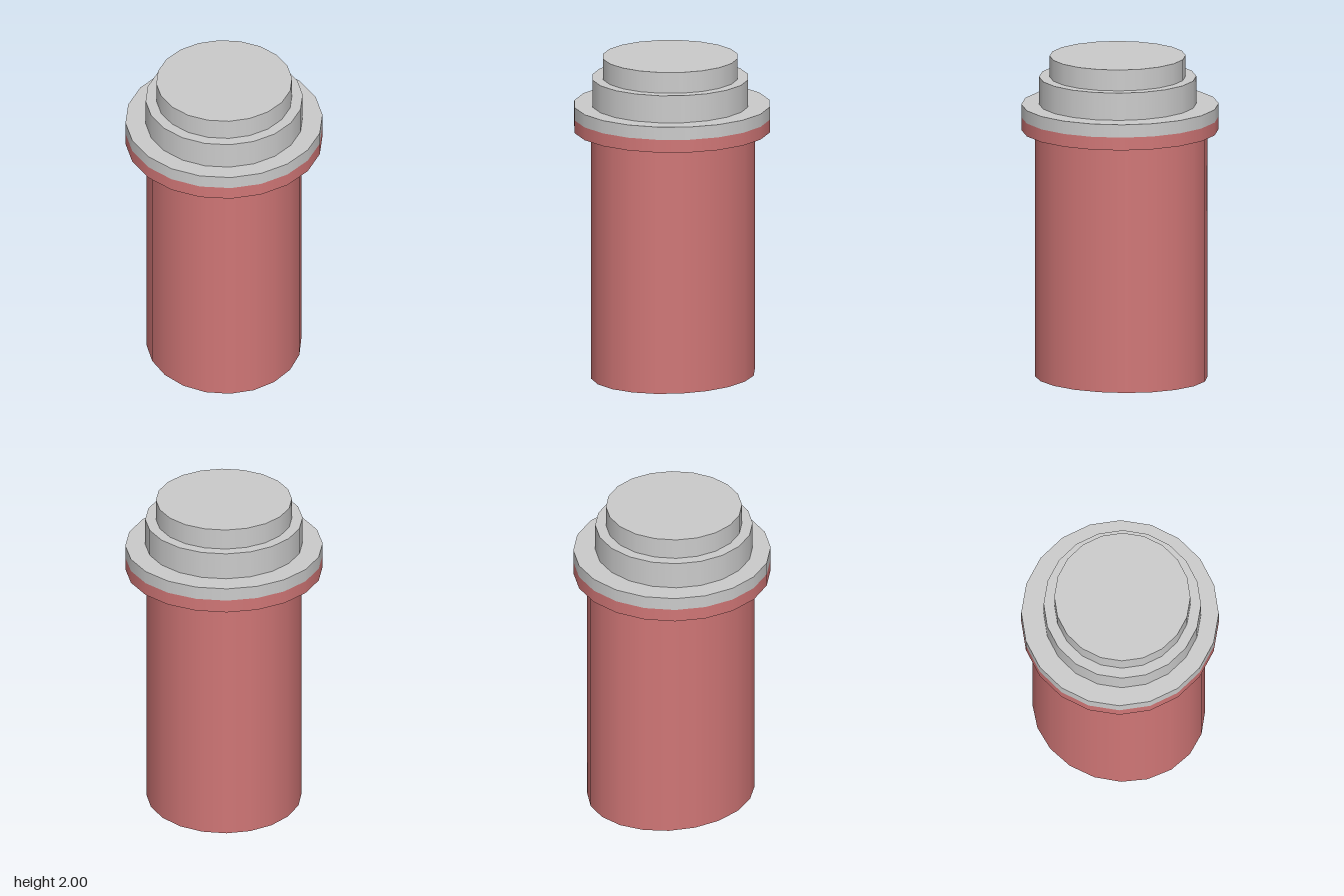
import * as THREE from 'three';

const SIDES = 20;
const red = new THREE.MeshStandardMaterial({ color: 0xd07676 });
const grey = new THREE.MeshStandardMaterial({ color: 0xcccccc });

// Upright smooth-sided drum from y0 to y1, with separate x and z radii
function drum(name, material, y0, y1, rx, rz = rx, z = 0) {
  const geometry = new THREE.CylinderGeometry(1, 1, y1 - y0, SIDES);
  geometry.scale(rx, 1, rz);
  const mesh = new THREE.Mesh(geometry, material);
  mesh.name = name;
  mesh.position.set(0, (y0 + y1) / 2, z);
  return mesh;
}

export function createModel() {
  const model = new THREE.Group();
  model.name = 'cappedCanister';
  model.add(
    // Slightly oval body
    drum('body', red, 0, 1.54, 0.473, 0.532, -0.008),
    // Two-tone flange
    drum('lowerFlange', red, 1.54, 1.62, 0.602),
    drum('upperFlange', grey, 1.62, 1.7, 0.602),
    // Stepped cap, set a little forward
    drum('capBase', grey, 1.7, 1.87, 0.48, 0.48, 0.015),
    drum('capTop', grey, 1.87, 2, 0.415, 0.415, 0.015),
  );
  return model;
}
